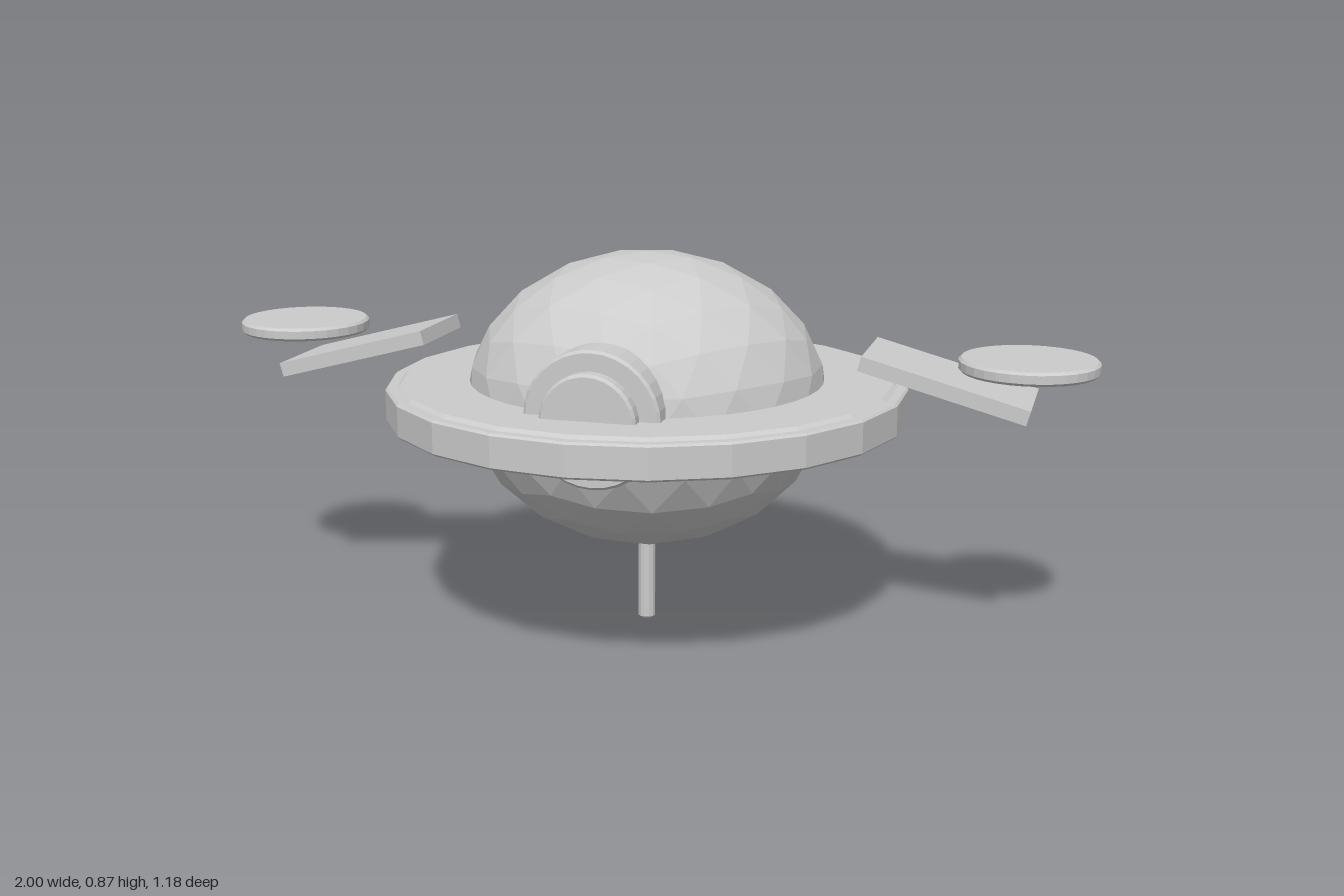
import * as THREE from 'three';

const material = new THREE.MeshStandardMaterial({ color: 0xcccccc, flatShading: true });

function part(name, geometry, parent) {
  const mesh = new THREE.Mesh(geometry, material);
  mesh.name = name;
  parent.add(mesh);
  return mesh;
}

// Solid disc with bevelled rims, running from y0 to y1
function bevelledDisc(radius, y0, y1, bevel, sides) {
  const profile = [
    [0, y0], [radius - bevel, y0], [radius, y0 + bevel],
    [radius, y1 - bevel], [radius - bevel, y1], [0, y1],
  ].map(([r, y]) => new THREE.Vector2(r, y));
  return new THREE.LatheGeometry(profile, sides);
}

export function createModel() {
  const model = new THREE.Group();
  model.name = 'saucerDrone';

  // Squashed faceted sphere, turned so one corner is at the very top
  const sphere = new THREE.IcosahedronGeometry(1, 3);
  sphere.rotateZ(-Math.atan(2 / (1 + Math.sqrt(5))));
  sphere.scale(0.41, 0.332, 0.41);
  part('body', sphere, model).position.y = 0.533;

  // Flat ring plate with a slightly lower outer rim
  const ringProfile = [
    [0, 0.487], [0.555, 0.487], [0.565, 0.494], [0.585, 0.494], [0.59, 0.499],
    [0.59, 0.566], [0.585, 0.571], [0.565, 0.571], [0.555, 0.578], [0, 0.578],
  ].map(([r, y]) => new THREE.Vector2(r, y));
  part('ring', new THREE.LatheGeometry(ringProfile, 22), model);

  // Front eye: two stepped discs facing forward
  const eye = new THREE.Group();
  eye.name = 'eye';
  eye.position.y = 0.572;
  eye.rotation.x = Math.PI / 2;
  part('eyeHousing', bevelledDisc(0.149, 0.3, 0.417, 0.006, 32), eye);
  part('eyeLens', bevelledDisc(0.105, 0.35, 0.447, 0.006, 32), eye);
  model.add(eye);

  // Tilted wing plates, each with a round pad floating above its tip
  for (const side of [-1, 1]) {
    const label = side > 0 ? 'left' : 'right';
    const wing = part(label + 'Wing', new THREE.BoxGeometry(0.372, 0.033, 0.224), model);
    wing.position.set(side * 0.682, 0.612, 0);
    wing.rotation.z = -side * THREE.MathUtils.degToRad(15);
    const pad = part(label + 'Pad', bevelledDisc(0.15, 0.64, 0.67, 0.006, 32), model);
    pad.position.x = side * 0.85;
  }

  // Thin rod below the body
  part('stem', bevelledDisc(0.02, 0, 0.26, 0.005, 12), model);

  return model;
}
